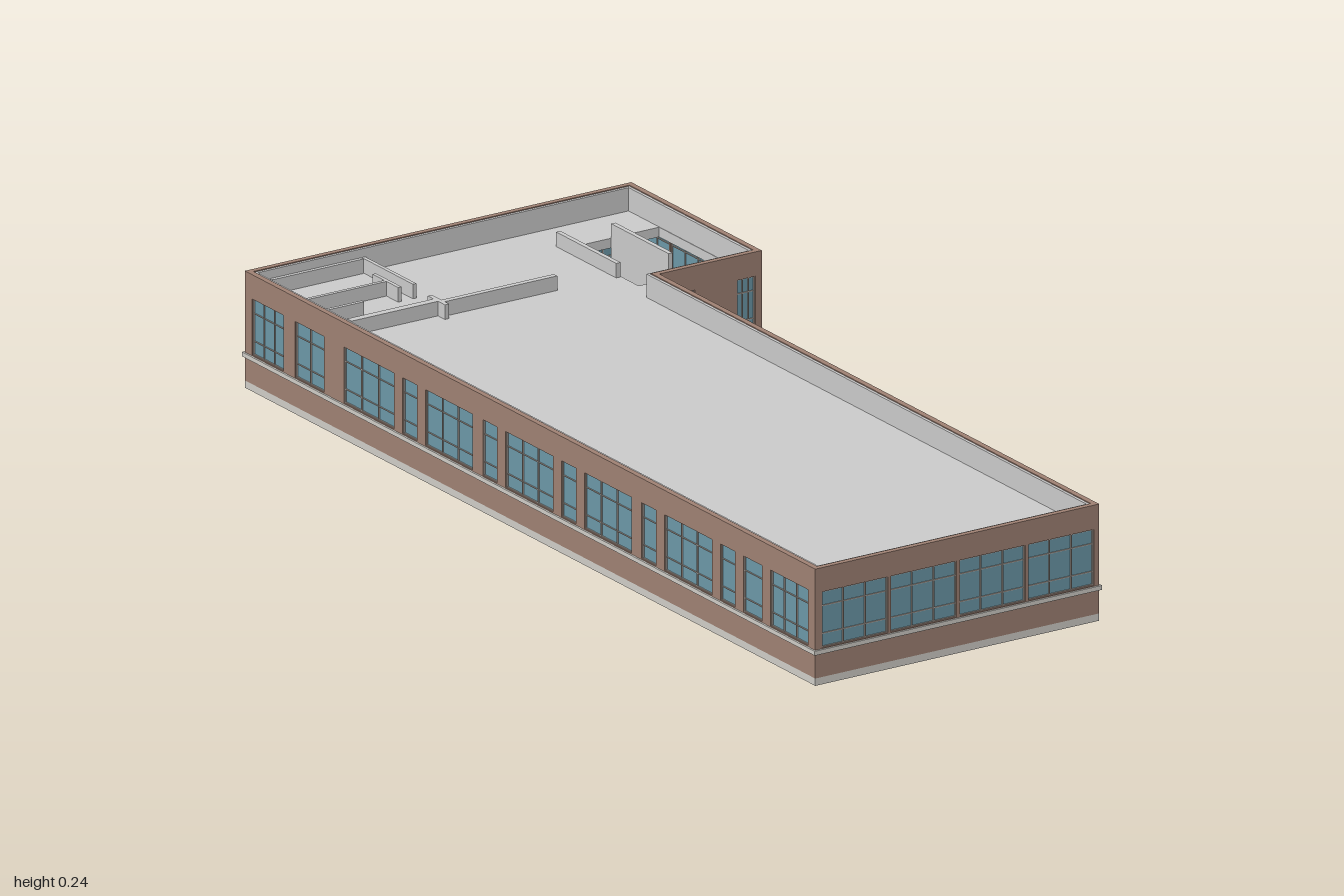
import * as THREE from 'three';

const mat = (color) => new THREE.MeshStandardMaterial({ color });
const BRICK = mat(0xa08274), GLASS = mat(0x6c98a8), FRAME = mat(0xb4aaa2);
const STONE = mat(0xd0cec8), GREY = mat(0xcccccc);
const T = 0.012; // outer wall thickness
const W = 0.447, D = 0.996, INX = 0.21, INZ = -0.54;

// L-shaped footprint corners, pushed outward by d
const outline = (d) => [
  [-W - d, D + d], [INX + d, D + d], [INX + d, INZ + d],
  [W + d, INZ + d], [W + d, -D - d], [-W - d, -D - d],
];
const toPoints = (pts) => pts.map(([x, z]) => new THREE.Vector2(x, -z));

// Horizontal plate from a footprint with an optional hole
function plate(name, outer, inner, y0, y1, material) {
  const shape = new THREE.Shape(toPoints(outer));
  if (inner) shape.holes.push(new THREE.Path(toPoints(inner)));
  const geo = new THREE.ExtrudeGeometry(shape, { depth: y1 - y0, bevelEnabled: false });
  geo.rotateX(-Math.PI / 2).translate(0, y0, 0);
  const mesh = new THREE.Mesh(geo, material);
  mesh.name = name;
  return mesh;
}

function box(name, x0, x1, y0, y1, z0, z1, material) {
  const mesh = new THREE.Mesh(new THREE.BoxGeometry(x1 - x0, y1 - y0, z1 - z0), material);
  mesh.position.set((x0 + x1) / 2, (y0 + y1) / 2, (z0 + z1) / 2);
  mesh.name = name;
  return mesh;
}

// Glass pane with frame and glazing bars, in wall coordinates
function windowUnit({ a, b, y0 = 0.075, y1 = 0.19, n = 3 }) {
  const g = new THREE.Group();
  g.name = y0 < 0.05 ? 'glazedDoor' : 'window';
  g.add(box('glass', a, b, y0, y1, -0.008, -0.005, GLASS));
  const f = 0.002;
  for (let i = 0; i <= n; i++) {
    const x = a + ((b - a) * i) / n;
    const h = i === 0 || i === n ? f : f * 0.6;
    g.add(box('uprightBar', x - h, x + h, y0, y1, -0.01, -0.002, FRAME));
  }
  for (const y of [y0, 0.103, 0.16, y1]) {
    const h = y === y0 || y === y1 ? f : f * 0.5;
    g.add(box('crossBar', a, b, y - h, y + h, -0.01, -0.003, FRAME));
  }
  return g;
}

// Brick wall from corner p to corner q, facing outward, with window openings
function wall(name, p, q, openings, extend = 0) {
  const g = new THREE.Group();
  g.name = name;
  const len = Math.hypot(q[0] - p[0], q[1] - p[1]) + extend;
  const rect = (C, x0, x1, y0, y1) => new C([[x0, y0], [x1, y0], [x1, y1], [x0, y1]]
    .map(([x, y]) => new THREE.Vector2(x, y)));
  const shape = rect(THREE.Shape, 0, len, 0.015, 0.24);
  for (const o of openings) {
    shape.holes.push(rect(THREE.Path, o.a, o.b, o.y0 ?? 0.075, o.y1 ?? 0.19));
    g.add(windowUnit(o));
  }
  const geo = new THREE.ExtrudeGeometry(shape, { depth: T, bevelEnabled: false });
  geo.translate(0, 0, -T);
  const brick = new THREE.Mesh(geo, BRICK);
  brick.name = 'brickwork';
  g.add(brick);
  g.position.set(p[0], 0, p[1]);
  g.rotation.y = Math.atan2(p[1] - q[1], q[0] - p[0]);
  return g;
}

// Evenly spaced openings
const row = (count, start, pitch, width) => Array.from({ length: count }, (_, i) =>
  ({ a: start + i * pitch, b: start + i * pitch + width }));

export function createModel() {
  const model = new THREE.Group();
  model.name = 'building';
  const c = outline(0);

  // Outer walls, counter-clockwise from the front
  const fromX = (x0, x1, o = {}) => ({ a: W - x1, b: W - x0, ...o }); // back wall by x
  const fromZ = (z0, z1, n) => ({ a: z0 + D, b: z1 + D, n }); // left-hand wall by z
  const piers = [-0.42, -0.14, 0.135, 0.415, 0.69];
  const sideWindows = [
    fromZ(-0.97, -0.86, 3), fromZ(-0.82, -0.72, 2), fromZ(-0.65, -0.475, 3),
    ...piers.map((z) => fromZ(z - 0.025, z + 0.025, 1)),
    ...piers.slice(0, 4).map((z) => fromZ(z + 0.055, z + 0.22, 3)),
    fromZ(0.745, 0.81, 1), fromZ(0.84, 0.97, 3),
  ];
  model.add(
    wall('frontWall', c[0], c[1], row(4, 0.016, 0.159, 0.152)),
    wall('longWall', c[1], c[2], row(9, 0.014, 0.168, 0.16), T),
    wall('wingFrontWall', c[2], c[3], [{ a: 0.018, b: 0.082 }, { a: 0.18, b: 0.222 }]),
    wall('wingSideWall', c[3], c[4], row(3, 0.018, 0.144, 0.138)),
    wall('backWall', c[4], c[5], [
      fromX(0.275, 0.425), fromX(0.12, 0.268),
      fromX(-0.17, -0.02, { y0: 0.02 }), fromX(-0.435, -0.3),
    ]),
    wall('sideWall', c[5], c[0], sideWindows),
  );

  // Stone base, sill band and parapet lining
  model.add(
    plate('stoneBase', outline(0), outline(-T), 0, 0.015, STONE),
    plate('sillBand', outline(0.004), outline(-0.001), 0.064, 0.073, STONE),
    plate('parapetLining', outline(-T), outline(-T - 0.006), 0.185, 0.238, GREY),
  );

  // Floor and upper slab, both open at the stairwell
  const well = [[0.215, -0.62], [0.428, -0.62], [0.428, -0.87], [0.215, -0.87]];
  model.add(
    plate('floorSlab', outline(-T), well, 0.001, 0.06, GREY),
    plate('upperSlab', outline(-T), well, 0.17, 0.19, GREY),
  );

  // Inner partitions rising above the upper slab: x0, x1, z0, z1
  const partitions = [
    [-0.4, -0.19, -0.978, -0.97], [-0.188, -0.18, -0.98, -0.8],
    [-0.41, -0.22, -0.849, -0.841], [-0.222, -0.214, -0.89, -0.8],
    [-0.41, -0.32, -0.779, -0.771], [-0.4, -0.2, -0.71, -0.694],
    [-0.19, 0.07, -0.697, -0.685], [-0.2, -0.19, -0.73, -0.67],
    [0.203, 0.213, -0.89, -0.68], [0.317, 0.327, -0.87, -0.67],
    [0.21, 0.42, -0.566, -0.558], [0.31, 0.38, -0.572, -0.562],
    [-0.425, -0.415, -0.88, -0.7], [-0.425, -0.415, 0.71, 0.83],
  ];
  // Short stubs either side of each pier
  for (const z of piers) {
    for (const s of [-1, 1]) {
      const m = z + s * 0.037;
      partitions.push([-0.424, -0.416, m - 0.016, m + 0.016]);
    }
  }
  partitions.push([-0.424, -0.416, -0.685, -0.655]);
  for (const [x0, x1, z0, z1] of partitions) {
    model.add(box('partition', x0, x1, 0.05, 0.22, z0, z1, GREY));
  }
  return model;
}
